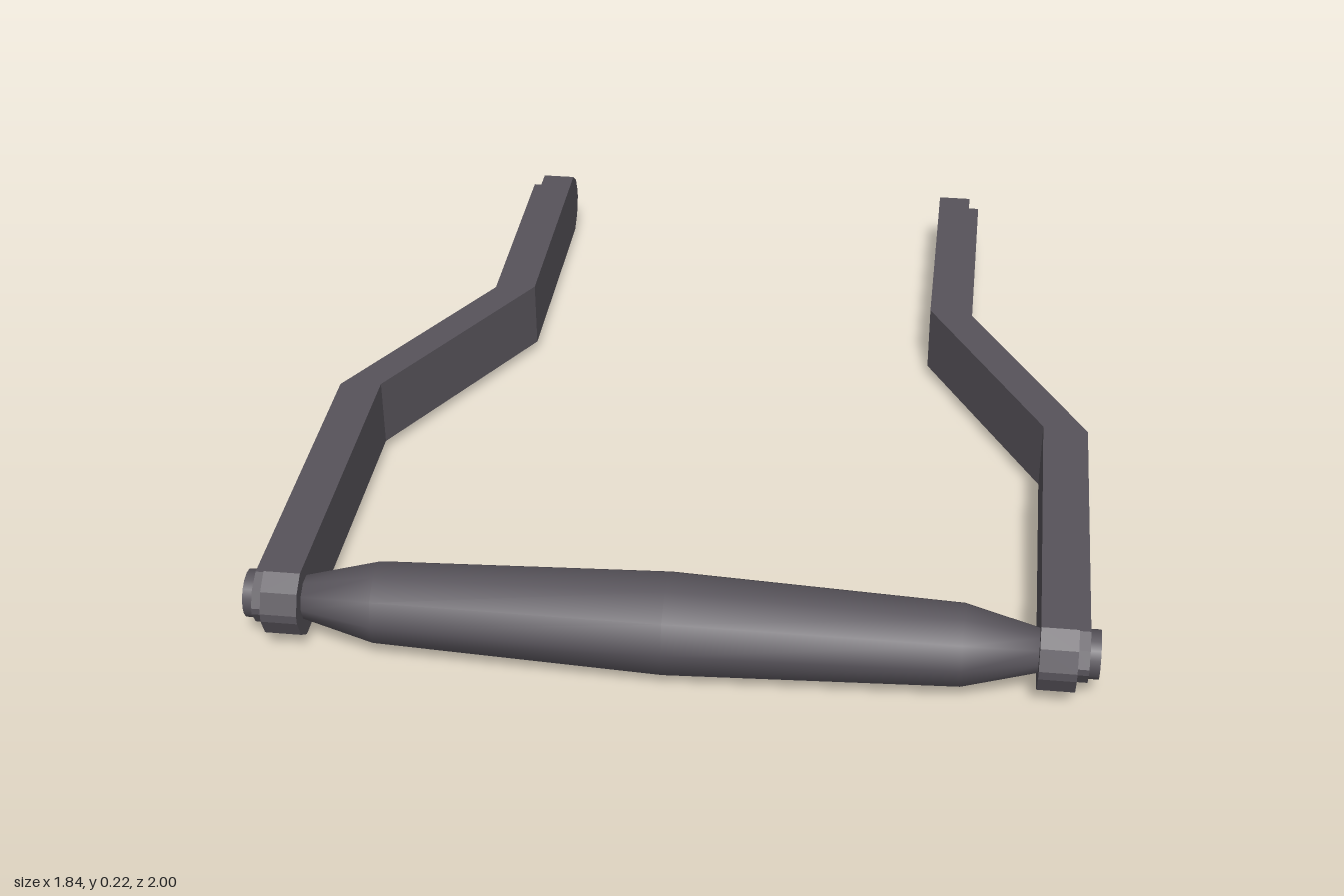
import * as THREE from 'three';

const CY = 0.117;      // height of the handle axis
const HANDLE_Z = 0.885;

// Sweep a rectangular section along z; each station is [zInner, zOuter, halfHeight, xInner, xOuter]
function sweepBar(stations, side) {
  const rings = stations.map(([zi, zo, h, xi, xo]) => [
    [xi * side, CY - h, zi], [xo * side, CY - h, zo],
    [xo * side, CY + h, zo], [xi * side, CY + h, zi],
  ]);
  const pos = [];
  const tri = (a, b, c) => (side > 0 ? pos.push(...a, ...b, ...c) : pos.push(...a, ...c, ...b));
  const quad = (a, b, c, d) => { tri(a, b, c); tri(a, c, d); };
  for (let i = 0; i < rings.length - 1; i++) {
    const p = rings[i], q = rings[i + 1];
    for (let k = 0; k < 4; k++) {
      const n = (k + 1) % 4;
      quad(p[k], q[k], q[n], p[n]);
    }
  }
  const last = rings[rings.length - 1];
  quad(rings[0][0], rings[0][1], rings[0][2], rings[0][3]);
  quad(last[3], last[2], last[1], last[0]);
  const g = new THREE.BufferGeometry();
  g.setAttribute('position', new THREE.Float32BufferAttribute(pos, 3));
  g.computeVertexNormals();
  return g;
}

// Cranked arm layer lying between offsets a and b from the inner face, with rounded ends
function armLayer(a, b, h, front, back, side) {
  const kink = (z, off) => z - off * 0.16;
  const wide = 0.79, narrow = 0.505;
  const at = (z, hh, x) => [z, z, hh, x + a, x + b];
  return sweepBar([
    at(front, h * 0.12, wide),
    at(front - 0.02, h * 0.66, wide),
    at(front - 0.058, h, wide),
    [kink(0.155, a), kink(0.155, b), h, wide + a, wide + b],
    [kink(-0.342, a), kink(-0.342, b), h, narrow + a, narrow + b],
    at(back + 0.058, h, narrow),
    at(back + 0.02, h * 0.66, narrow),
    at(back, h * 0.12, narrow),
  ], side);
}

export function createModel() {
  const group = new THREE.Group();
  const darkMetal = new THREE.MeshStandardMaterial({ color: 0x57535a });
  darkMetal.name = 'darkMetal';
  const add = (name, geometry) => {
    const mesh = new THREE.Mesh(geometry, darkMetal);
    mesh.name = name;
    group.add(mesh);
    return mesh;
  };

  // Tapered ten-sided grip across the front
  const profile = [[0, -0.8], [0.047, -0.8], [0.092, -0.63], [0.115, 0],
    [0.092, 0.63], [0.047, 0.8], [0, 0.8]].map(([r, y]) => new THREE.Vector2(r, y));
  const grip = new THREE.LatheGeometry(profile, 10);
  grip.rotateZ(Math.PI / 2);
  add('grip', grip).position.set(0, CY, HANDLE_Z);

  // Arms, raised outer strips and pivot pins
  for (const side of [1, -1]) {
    const label = side > 0 ? 'left' : 'right';
    add(label + 'Arm', armLayer(0, 0.08, 0.0825, 0.97, -1, side));
    add(label + 'Strip', armLayer(0.08, 0.105, 0.064, 0.95, -0.98, side));
    const pin = new THREE.CylinderGeometry(0.053, 0.053, 0.05, 16);
    pin.rotateZ(Math.PI / 2);
    add(label + 'Pin', pin).position.set(side * 0.893, CY, HANDLE_Z);
  }
  return group;
}
